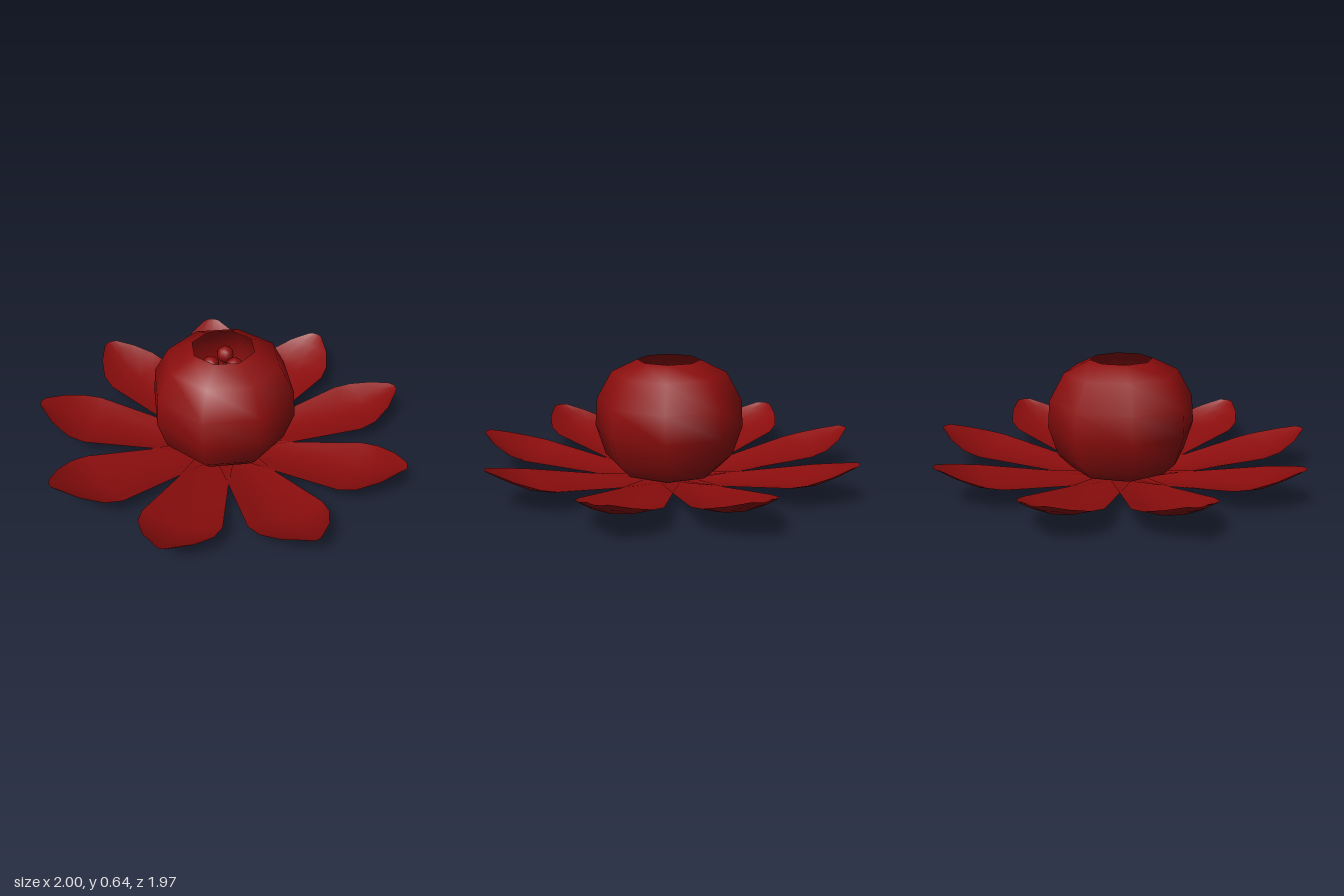
import * as THREE from 'three';

const CENTER = [-0.015, 0, -0.03];
const PETALS = 9;

// Petal rows from tip to base: distance, half width, midline height, edge lift
const ROWS = [
  [1.015, 0.045, 0.215, 0.0],
  [0.94, 0.125, 0.165, 0.015],
  [0.84, 0.187, 0.108, 0.035],
  [0.73, 0.203, 0.075, 0.045],
  [0.38, 0.135, 0.025, 0.025],
  [0.04, 0.085, 0.003, 0.0],
];

// Cupped petal reaching towards -z
function petalGeometry() {
  const columns = 4;
  const geo = new THREE.PlaneGeometry(2, 1, columns, ROWS.length - 1);
  const pos = geo.attributes.position;
  for (let i = 0; i < pos.count; i++) {
    const [r, half, mid, lift] = ROWS[Math.floor(i / (columns + 1))];
    const u = pos.getX(i);
    // the middle of the tip reaches a little further than its sides
    const round = r > 0.8 ? 0.02 * u * u : 0;
    pos.setXYZ(i, u * half, mid + lift * u * u, -(r - round));
  }
  geo.computeVertexNormals();
  return geo;
}

export function createModel() {
  const flower = new THREE.Group();
  flower.name = 'flower';
  const red = new THREE.MeshStandardMaterial({ color: 0x8c0d0d, side: THREE.DoubleSide });

  const add = (name, geo, x = 0, y = 0, z = 0) => {
    const mesh = new THREE.Mesh(geo, red);
    mesh.name = name;
    mesh.position.set(x, y, z);
    flower.add(mesh);
    return mesh;
  };

  // Ring of open petals, the first one facing the front
  const petal = petalGeometry();
  for (let i = 0; i < PETALS; i++) {
    add('petal', petal, ...CENTER).rotation.y = Math.PI + (i * 2 * Math.PI) / PETALS;
  }

  // Eight-sided hollow bulb, open at the top
  const profile = [
    [0, 0.01], [0.15, 0.015], [0.27, 0.06], [0.34, 0.13],
    [0.39, 0.285], [0.38, 0.43], [0.3, 0.575], [0.165, 0.64],
  ].map(([r, y]) => new THREE.Vector2(r, y));
  add('bulb', new THREE.LatheGeometry(profile, 8), ...CENTER);

  // Three stamens inside the bulb
  const ball = new THREE.SphereGeometry(0.045, 10, 8);
  const stalk = new THREE.CylinderGeometry(0.01, 0.01, 0.53, 6);
  for (const [x, z] of [[-0.025, -0.105], [0.05, -0.01], [-0.07, 0.01]]) {
    add('stamenTip', ball, x, 0.55, z);
    add('stamenStalk', stalk, x, 0.28, z);
  }

  return flower;
}
